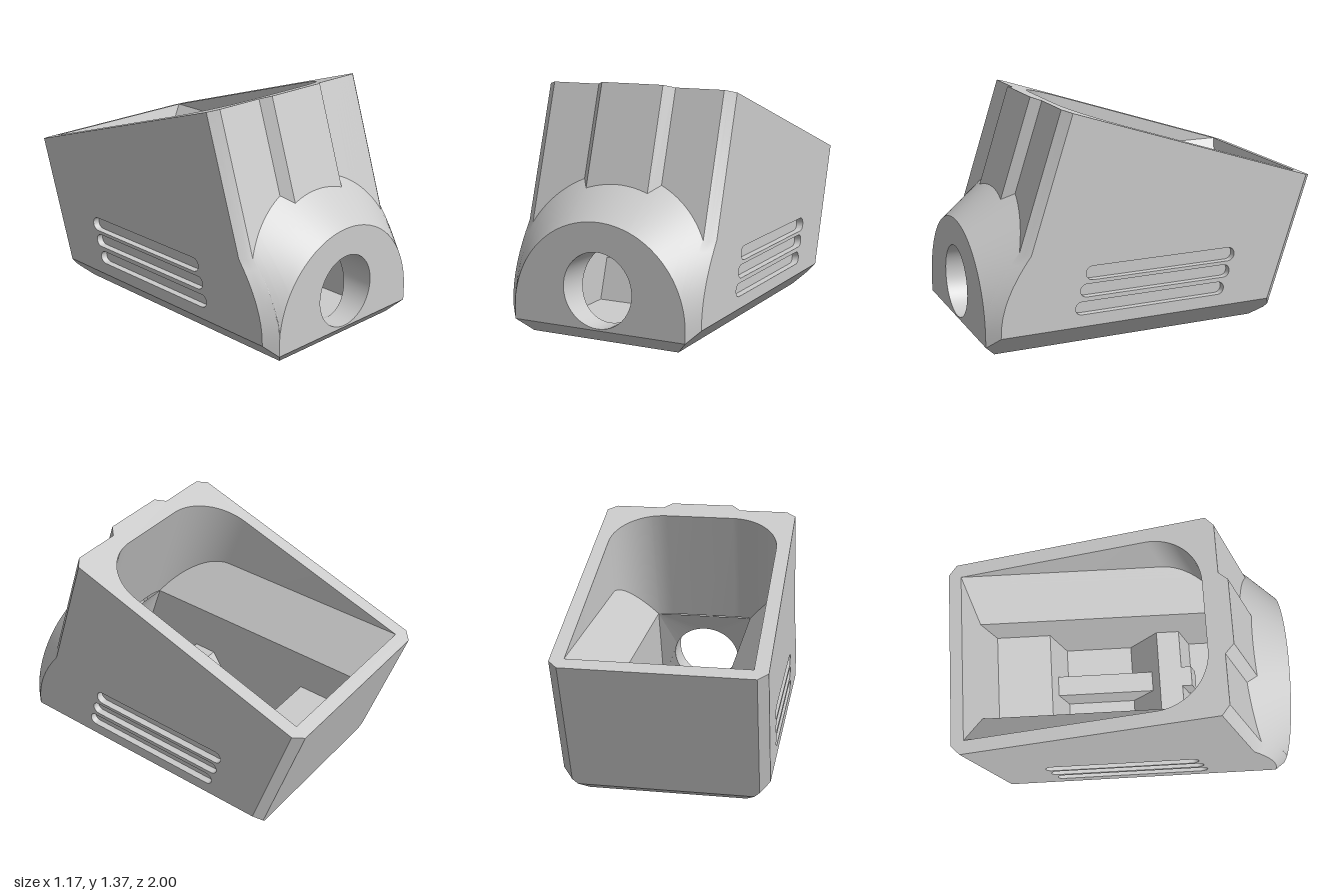
import * as THREE from 'three';
import { toCreasedNormals } from 'three/addons/utils/BufferGeometryUtils.js';

const TILT = 0.327;                        // lean of the well walls, z per y
const W = 0.585, R = 0.525, CY = 0.143;    // half width, nose radius, nose centre height
const BORE = 0.21, BORE_Y = 0.295;
const topY = z => 1.365 - (0.6 - z) * 0.325;
const lean = (z0, y) => z0 + (topY(z0) - y) * TILT;
const lowY = x => Math.max(0, Math.abs(x) - 0.45);
const mirrorXs = half => [...half.filter(x => x > 0).map(x => -x), ...half].sort((a, b) => a - b);

function lerpTable(table, x) {
  for (let i = 1; i < table.length; i++) {
    const [x0, v0] = table[i - 1], [x1, v1] = table[i];
    if (x <= x1) return v0 + (v1 - v0) * (x - x0) / (x1 - x0);
  }
  return table[table.length - 1][1];
}

// Surface through neighbouring columns of points
function grid(cols, keep = () => true) {
  const pos = [];
  for (let i = 0; i + 1 < cols.length; i++) {
    for (let j = 0; j + 1 < cols[i].length; j++) {
      if (!keep(i, j)) continue;
      const a = cols[i][j], b = cols[i + 1][j], c = cols[i + 1][j + 1], d = cols[i][j + 1];
      for (const t of [[a, b, c], [a, c, d]]) {
        const [p, q, r] = t.map(v => new THREE.Vector3(...v));
        if (q.clone().sub(p).cross(r.clone().sub(p)).length() > 1e-9) pos.push(...t.flat());
      }
    }
  }
  const g = new THREE.BufferGeometry();
  g.setAttribute('position', new THREE.Float32BufferAttribute(pos, 3));
  return toCreasedNormals(g, 0.4);
}

// Flat outline with holes, placed in space by a rule
function plate(points, holes, place) {
  const pts = points.map(p => new THREE.Vector2(...p))
    .filter((p, i, all) => i === 0 || p.distanceTo(all[i - 1]) > 1e-5);
  const shape = new THREE.Shape(pts);
  shape.holes = holes.map(h => new THREE.Path(h.map(p => new THREE.Vector2(...p))));
  const g = new THREE.ShapeGeometry(shape).toNonIndexed();
  const p = g.attributes.position;
  for (let i = 0; i < p.count; i++) p.setXYZ(i, ...place(p.getX(i), p.getY(i)));
  g.computeVertexNormals();
  return g;
}

function stadium(z0, z1, y0, y1) {
  const r = (y1 - y0) / 2, y = (y0 + y1) / 2, pts = [];
  for (let i = 0; i <= 12; i++) {
    const a = -Math.PI / 2 + Math.PI * i / 12;
    pts.push([z1 - r + r * Math.cos(a), y + r * Math.sin(a)]);
  }
  return [...pts, ...pts.map(([z, v]) => [z0 + z1 - z, 2 * y - v])];
}

export function createModel() {
  const group = new THREE.Group();
  const material = new THREE.MeshStandardMaterial({ color: 0xcccccc, side: THREE.DoubleSide });
  const add = (name, geometry, mirrored = false) => {
    for (const s of mirrored ? [1, -1] : [1]) {
      const mesh = new THREE.Mesh(geometry, material);
      mesh.name = mirrored ? (s > 0 ? 'left' : 'right') + name : name;
      mesh.scale.x = s;
      group.add(mesh);
    }
  };

  // Columns across the width
  const half = [0, 0.19, 0.24, 0.45, 0.5, 0.53, 0.555, W];
  for (let i = 1; i <= 24; i++) half.push(R * Math.sin(i / 24 * Math.PI / 2));
  const xs = mirrorXs(half);

  // Front: lower chamfer, round nose, conical flare, ribbed neck
  const neckTop = x => lerpTable([[0, 0.6], [0.19, 0.6], [0.24, 0.55], [0.53, 0.55], [W, 0.505]], Math.abs(x));
  const cone = (x, y) => {
    const r = y < CY ? Math.abs(x) : Math.hypot(x, y - CY);
    return 1 - (r - R) / (0.73 + 0.15 * (x / (r || 1)) ** 2);
  };
  const front = xs.map(x => {
    const zt = neckTop(x), y0 = lowY(x), y3 = topY(zt);
    const y1 = CY + Math.sqrt(Math.max(0, R * R - x * x));
    let lo = y1, hi = y3;
    for (let i = 0; i < 40; i++) {
      const m = (lo + hi) / 2;
      if (cone(x, m) > lean(zt, m)) lo = m; else hi = m;
    }
    const nose = y => [x, y, Math.min(1, cone(x, y), 0.93 + y * 0.07 / 0.075)];
    const col = [nose(y0), nose(Math.max(y0, 0.075))];
    for (let i = 0; i <= 8; i++) col.push(nose(y1 + (lo - y1) * i / 8));
    col.push([x, y3, zt]);
    return col;
  });
  const onNose = x => Math.abs(x) <= R + 1e-6;
  add('frontShell', grid(front, (i, j) => j !== 1 || !(onNose(xs[i]) && onNose(xs[i + 1]))));

  // Nose face with its round bore
  const circle = [];
  for (let i = 0; i < 48; i++) {
    const a = i / 48 * Math.PI * 2;
    circle.push([BORE * Math.cos(a), BORE_Y + BORE * Math.sin(a)]);
  }
  const arch = front.filter(c => onNose(c[0][0])).map(c => [c[2][0], c[2][1]]).reverse();
  add('noseFace', plate([[-R, 0.075], [R, 0.075], ...arch], [circle], (x, y) => [x, y, 1]));

  // Back wall with chamfered corners
  const back = xs.map(x => {
    const zt = -1 + lerpTable([[0, 0], [0.53, 0], [W, 0.05]], Math.abs(x));
    const y0 = lowY(x);
    const at = y => [x, y, Math.max(lean(zt, y), -0.67 - y * 1.4)];
    return [[x, topY(zt), zt], at(Math.max(y0, 0.05)), at(y0)];
  });
  add('backShell', grid(back));
  add('bottomShell', grid(xs.map((x, i) => [back[i][2], front[i][0]])));

  // Side walls with three recessed slots each
  const slots = [[-0.485, 0.435, 0.4, 0.48], [-0.455, 0.47, 0.305, 0.38], [-0.42, 0.5, 0.205, 0.28]]
    .map(s => stadium(...s).map(([z, y]) => [-z, y]));
  const sideEdge = [...front[xs.length - 1], ...back[xs.length - 1]].map(p => [-p[2], p[1]]);
  add('SideWall', plate(sideEdge, slots, (a, y) => [W, y, -a]), true);
  for (const s of slots) {
    add('SlotRim', grid([...s, s[0]].map(([a, y]) => [[W, y, -a], [W - 0.04, y, -a]])), true);
    add('SlotFloor', plate(s, [], (a, y) => [W - 0.04, y, -a]), true);
  }

  // Well opening: square at the back, rounded at the front
  const IN = 0.3, OUT = 0.505, BACK = -0.925, LEDGE = 0.609, STEP = (topY(BACK) - LEDGE) / (OUT - IN);
  const rimZ = x => 0.16 + Math.sqrt(Math.max(0, 0.09 - Math.max(0, Math.abs(x) - 0.205) ** 2));
  const wellHalf = [0, IN];
  for (let i = 0; i <= 16; i++) wellHalf.push(0.205 + 0.3 * Math.sin(i / 16 * Math.PI / 2));
  const wellXs = mirrorXs(wellHalf);
  const ledgeY = x => LEDGE + Math.max(0, Math.abs(x) - IN) * STEP;
  const wall = (x, z0, y) => [x, y, lean(z0, y)];
  const rim = [[-OUT, BACK], ...wellXs.map(x => [x, rimZ(x)]), [OUT, BACK]];
  const outer = [...front.map(c => c[c.length - 1]), ...back.map(c => c[0]).reverse()];
  add('topRim', plate(outer.map(p => [p[0], -p[2]]), [rim.map(([x, z]) => [x, -z])], (x, b) => [x, topY(-b), -b]));
  add('wellWall', grid(rim.map(([x, z]) => [wall(x, z, topY(z)), wall(x, z, ledgeY(x))])));

  // Sloping ledges on both sides of the well
  const ledgeXs = wellXs.filter(x => x >= IN - 1e-6);
  add('Ledge', grid(ledgeXs.map(x => [wall(x, rimZ(x), ledgeY(x)), wall(x, BACK, ledgeY(x))])), true);
  const backCol = (x, y) => [wall(x, BACK, y), wall(x, BACK, topY(BACK))];
  add('wellBack', grid([backCol(-IN, 0.364), backCol(IN, 0.364)]));
  add('WellBackCorner', grid([backCol(IN, LEDGE), backCol(OUT, topY(BACK))]), true);

  // Lower chamber: front wall, stepped floor and sides
  const inner = (x, y) => wall(x, rimZ(x), y);
  add('chamberFront', plate([[-IN, 0.08], [IN, 0.08], [IN, LEDGE], [-IN, LEDGE]], [circle], inner));
  add('bore', grid([...circle, circle[0]].map(([x, y]) => [[x, y, 1], inner(x, y)])));
  const floor = [[-0.76, 0.364], [-0.43, 0.364], [-0.334, 0.07], [0.08, 0.07], [0.24, 0.315],
    [0.38, 0.315], [0.457, 0.08], [inner(IN, 0.08)[2], 0.08]];
  add('chamberFloor', grid([-IN, IN].map(x => floor.map(([z, y]) => [x, y, z]).reverse())));
  const sidePts = [...floor, [inner(IN, LEDGE)[2], LEDGE], [lean(BACK, LEDGE), LEDGE]];
  add('ChamberSide', plate(sidePts, [], (z, y) => [IN, y, z]), true);

  // Centre rib on the floor and the hook in front of it
  const fin = (name, pts) => {
    const shape = new THREE.Shape(pts.map(([z, y]) => new THREE.Vector2(-z, y)));
    const g = new THREE.ExtrudeGeometry(shape, { depth: 0.124, bevelEnabled: false });
    g.translate(0, 0, -0.062);
    g.rotateY(Math.PI / 2);
    add(name, toCreasedNormals(g, 0.5));
  };
  fin('floorRib', [[-0.393, 0.25], [-0.334, 0.07], [0.08, 0.07], [0.2, 0.25]]);
  fin('hook', [[0.37, 0.315], [0.44, 0.315], [0.472, 0.22], [0.473, 0.195], [0.465, 0.175], [0.45, 0.163], [0.425, 0.16]]);

  return group;
}
